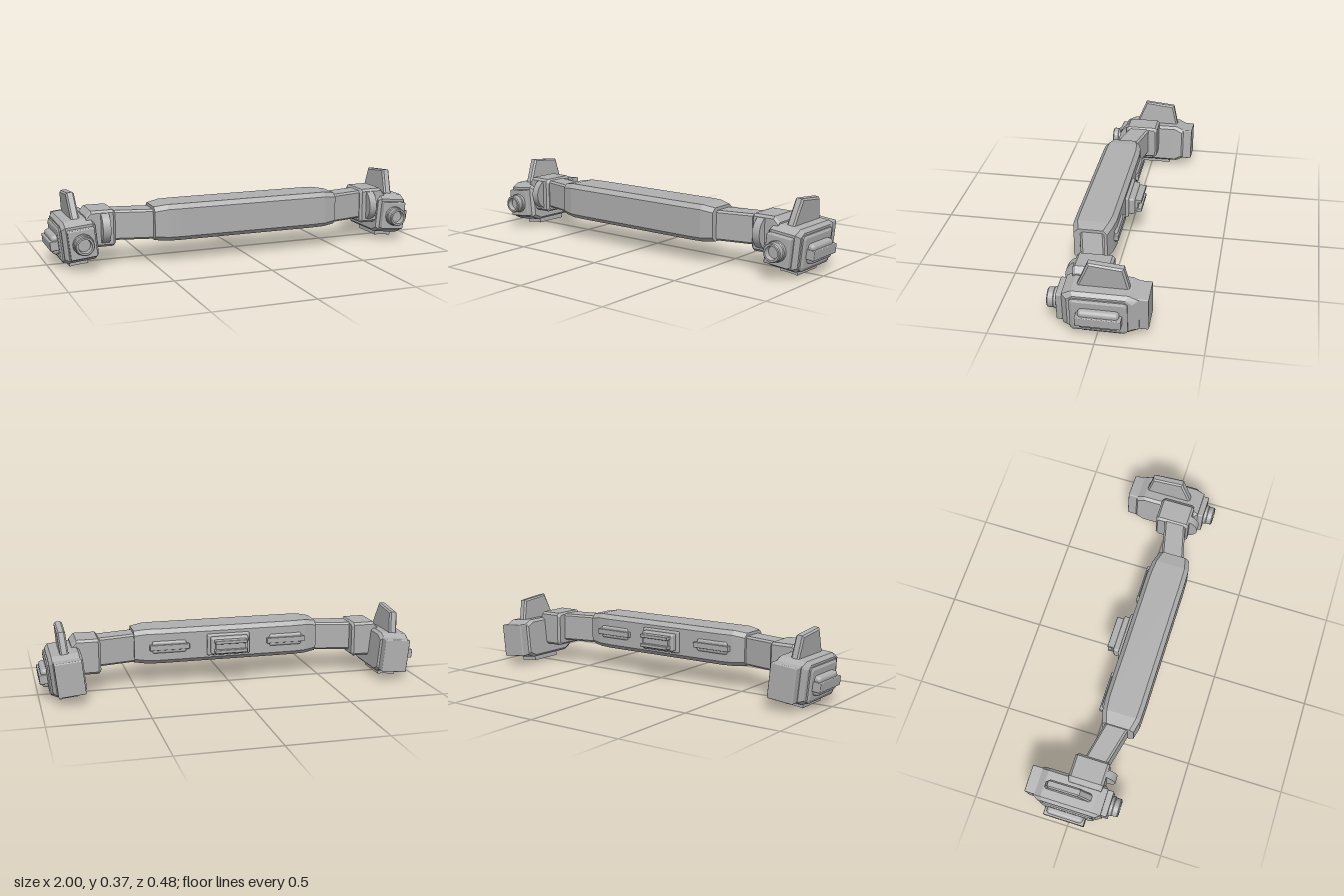
import * as THREE from 'three';
import { RoundedBoxGeometry } from 'three/addons/geometries/RoundedBoxGeometry.js';

const grey = new THREE.MeshStandardMaterial({ color: 0xb0b0b0 });
grey.name = 'grey';

function add(parent, name, geo, x = 0, y = 0, z = 0) {
  const m = new THREE.Mesh(geo, grey);
  m.name = name;
  m.position.set(x, y, z);
  parent.add(m);
  return m;
}

// Box given by its limits, with an optional softened edge
function block(parent, name, [x0, x1], [y0, y1], [z0, z1], r = 0) {
  const s = [x1 - x0, y1 - y0, z1 - z0];
  const geo = r ? new RoundedBoxGeometry(...s, 2, r) : new THREE.BoxGeometry(...s);
  return add(parent, name, geo, (x0 + x1) / 2, (y0 + y1) / 2, (z0 + z1) / 2);
}

// Solid skinned over [x, [[z, y], ...]] sections; loops run back to front over the top
function loft(sections) {
  const pos = [];
  const put = (x, p) => pos.push(x, p[1], p[0]);
  for (let s = 0; s < sections.length - 1; s++) {
    const [x0, a] = sections[s], [x1, b] = sections[s + 1];
    for (let i = 0; i < a.length; i++) {
      const j = (i + 1) % a.length;
      put(x0, a[i]); put(x0, a[j]); put(x1, b[j]);
      put(x0, a[i]); put(x1, b[j]); put(x1, b[i]);
    }
  }
  const [xa, first] = sections[0], [xb, last] = sections[sections.length - 1];
  for (let i = 1; i < first.length - 1; i++) {
    put(xa, first[0]); put(xa, first[i + 1]); put(xa, first[i]);
    put(xb, last[0]); put(xb, last[i]); put(xb, last[i + 1]);
  }
  const g = new THREE.BufferGeometry();
  g.setAttribute('position', new THREE.Float32BufferAttribute(pos, 3));
  g.computeVertexNormals();
  return g;
}

// Chamfered rectangle in the z-y plane
const octagon = (z0, z1, y0, y1, cz, cy = cz) => [
  [z0 + cz, y1], [z1 - cz, y1], [z1, y1 - cy], [z1, y0 + cy],
  [z1 - cz, y0], [z0 + cz, y0], [z0, y0 + cy], [z0, y1 - cy],
];
const quad = (z0, z1, y0, y1) => [[z0, y1], [z1, y1], [z1, y0], [z0, y0]];

function createSide() {
  const side = new THREE.Group();

  // Swept arm and joint block
  add(side, 'arm', loft([
    [0.47, octagon(0.05, 0.17, 0.125, 0.275, 0.01)],
    [0.7, octagon(0.0, 0.115, 0.125, 0.275, 0.01)],
  ]));
  add(side, 'jointBlock', loft([
    [0.678, octagon(-0.035, 0.125, 0.11, 0.272, 0.012)],
    [0.69, octagon(-0.045, 0.135, 0.1, 0.283, 0.012)],
    [0.8, octagon(-0.045, 0.135, 0.1, 0.283, 0.012)],
    [0.825, octagon(-0.04, 0.13, 0.1, 0.255, 0.012)],
  ]));

  // Round wheel peeking out of the joint front
  const wheel = add(side, 'jointWheel', new THREE.CylinderGeometry(0.083, 0.083, 0.04, 32), 0.733, 0.195, 0.098);
  wheel.rotation.z = Math.PI / 2;

  // Housing tilts slightly outward around its centre
  const pod = new THREE.Group();
  pod.name = 'housing';
  pod.position.set(0.86, 0.137, 0);
  pod.rotation.z = -0.1;
  side.add(pod);
  const body = new THREE.Group();
  body.position.set(-0.86, -0.137, 0);
  pod.add(body);

  add(body, 'housingBody', loft([
    [0.776, octagon(-0.18, 0.145, 0.045, 0.23, 0.04, 0.02)],
    [0.79, octagon(-0.194, 0.16, 0.034, 0.244, 0.045, 0.022)],
    [0.925, octagon(-0.194, 0.16, 0.034, 0.244, 0.045, 0.022)],
    [0.943, octagon(-0.165, 0.135, 0.042, 0.228, 0.03, 0.02)],
  ]));
  block(body, 'rearBox', [0.785, 0.922], [0.052, 0.227], [-0.237, -0.15], 0.006);
  block(body, 'frontBox', [0.79, 0.922], [0.064, 0.21], [0.12, 0.19], 0.006);

  // Hollow lens barrel
  const barrel = [[0, 0], [0.051, 0], [0.051, 0.016], [0.047, 0.02], [0.047, 0.045],
    [0.043, 0.05], [0.034, 0.05], [0.031, 0.022], [0, 0.022]];
  const lensGeo = new THREE.LatheGeometry(barrel.map(p => new THREE.Vector2(...p)), 32).toNonIndexed();
  lensGeo.computeVertexNormals();
  const lens = add(body, 'lensBarrel', lensGeo, 0.856, 0.137, 0.189);
  lens.rotation.x = Math.PI / 2;

  // Upright fin
  const fin = k => [[-0.12 + k, 0.352 - k], [0.045 - k, 0.368 - k], [0.1 - k, 0.235], [-0.147 + k, 0.235]];
  add(body, 'fin', loft([[0.838, fin(0.008)], [0.846, fin(0)], [0.872, fin(0)], [0.88, fin(0.008)]]));

  // Outer side panel, padded latch and its cross rail
  add(body, 'sidePanel', loft([
    [0.935, octagon(-0.145, 0.122, 0.042, 0.217, 0.012)],
    [0.95, octagon(-0.145, 0.122, 0.042, 0.217, 0.012)],
    [0.957, octagon(-0.132, 0.108, 0.058, 0.205, 0.008)],
  ]));
  block(body, 'sidePad', [0.94, 0.987], [0.078, 0.175], [-0.11, 0.08], 0.018);
  block(body, 'sideRail', [0.95, 0.998], [0.102, 0.15], [-0.122, 0.09], 0.004);

  // Vent frame with cross bars underneath
  for (const x of [0.82, 0.9]) block(body, 'ventRim', [x, x + 0.014], [0.006, 0.05], [-0.107, 0.072]);
  for (let i = 0; i < 5; i++) {
    const z = -0.107 + i * 0.0413;
    block(body, 'ventBar', [0.825, 0.91], [0.008, 0.05], [z, z + 0.014]);
  }

  // Small latch on the back of the main bar
  block(side, 'rearPad', [0.225, 0.405], [0.175, 0.24], [-0.004, 0.03], 0.012);
  block(side, 'rearRail', [0.21, 0.42], [0.193, 0.222], [-0.012, 0.02], 0.003);
  return side;
}

export function createModel() {
  const model = new THREE.Group();

  // Main bar with tapered ends
  const end = octagon(0.03, 0.195, 0.122, 0.29, 0.022);
  const shoulder = octagon(0.012, 0.21, 0.116, 0.3, 0.022);
  const middle = octagon(0.005, 0.212, 0.115, 0.3, 0.022);
  add(model, 'mainBar', loft([
    [-0.495, end], [-0.43, shoulder], [-0.36, middle],
    [0.36, middle], [0.43, shoulder], [0.495, end],
  ]));

  // Centre buckle on the back
  block(model, 'buckleBase', [-0.115, 0.115], [0.148, 0.262], [-0.01, 0.02], 0.008);
  block(model, 'buckleBody', [-0.1, 0.1], [0.16, 0.25], [-0.04, 0], 0.01);
  for (const y of [0.172, 0.222]) block(model, 'buckleLip', [-0.086, 0.086], [y, y + 0.018], [-0.075, -0.03], 0.004);
  block(model, 'buckleCore', [-0.08, 0.08], [0.185, 0.228], [-0.055, -0.03]);

  // Matching sides
  const left = createSide();
  left.name = 'leftSide';
  const right = createSide();
  right.name = 'rightSide';
  right.scale.x = -1;
  model.add(left, right);
  return model;
}
